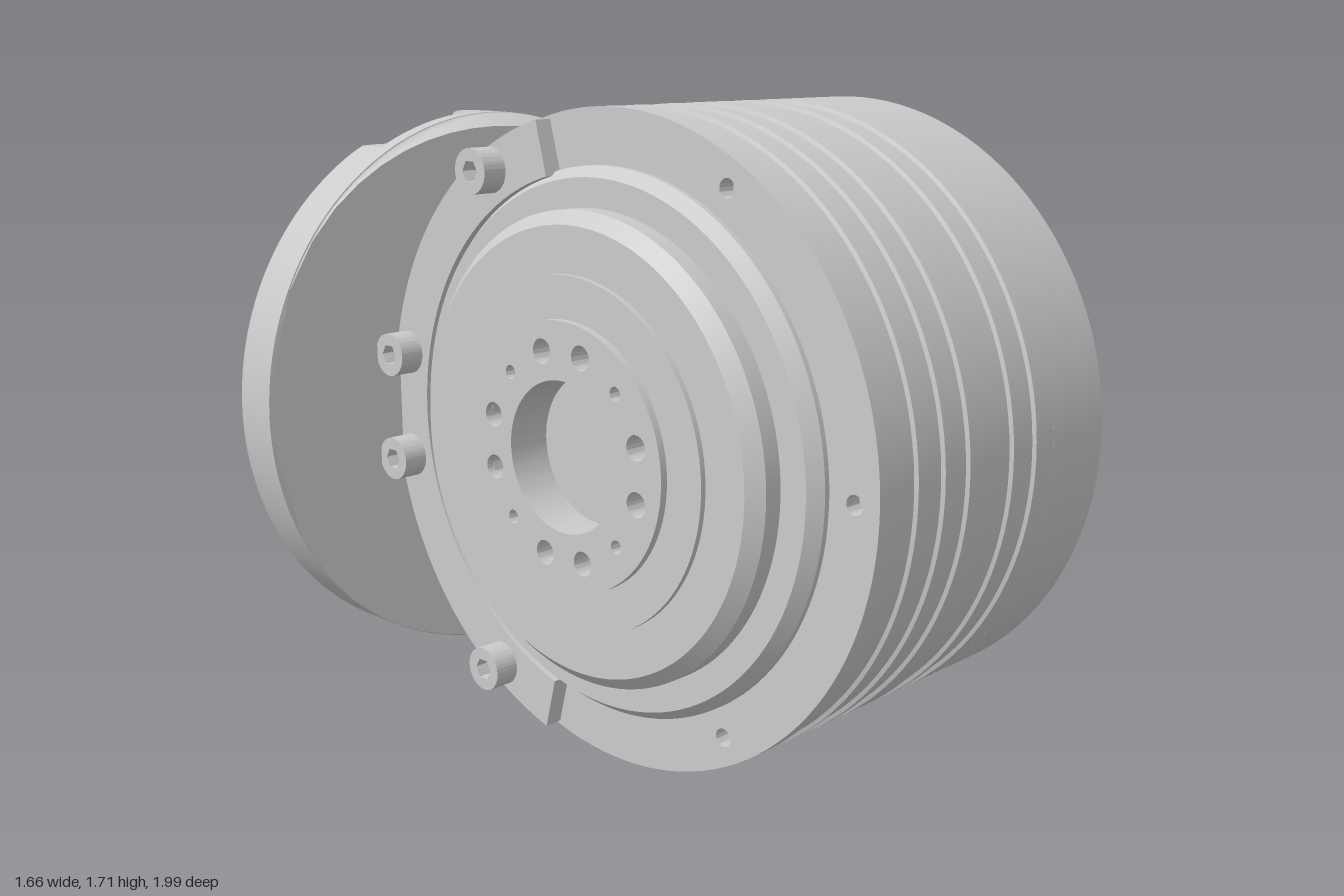
import * as THREE from 'three';
import { toCreasedNormals } from 'three/addons/utils/BufferGeometryUtils.js';

const CY = 0.857, CZ = 0.145;   // barrel axis (runs along x)
const FX = -0.03;               // flange axis x (runs along z)
const mat = new THREE.MeshStandardMaterial({ color: 0xcccccc, side: THREE.DoubleSide });
const V = (x, y) => new THREE.Vector2(x, y);

function add(parent, name, geo, crease = 0.5) {
  const m = new THREE.Mesh(toCreasedNormals(geo, crease), mat);
  m.name = name;
  parent.add(m);
  return m;
}

// Turned part about x; points are [radius, x] with x ascending
const turned = pts => new THREE.LatheGeometry(pts.map(p => V(p[0], p[1])), 128).rotateZ(-Math.PI / 2);

// Shape (u = towards the back, v = up) pushed along x
const alongX = (shape, x, depth) => new THREE.ExtrudeGeometry(shape,
  { depth, bevelEnabled: false, curveSegments: 64 }).rotateY(Math.PI / 2).translate(x, 0, 0);

const alongZ = (shape, z, depth) => new THREE.ExtrudeGeometry(shape,
  { depth, bevelEnabled: false, curveSegments: 32 }).translate(0, 0, z);

const circle = (x, y, r) => new THREE.Shape().absarc(x, y, r, 0, Math.PI * 2, false);
const rect = (x0, x1, y0, y1) => new THREE.Shape([V(x0, y0), V(x1, y0), V(x1, y1), V(x0, y1)]);

// Socket-head screw: a cylinder with a hex recess
function socket(r) {
  const s = circle(0, 0, r), hex = [];
  for (let i = 0; i < 6; i++) hex.push(V(0.5 * r * Math.cos(i * Math.PI / 3), 0.5 * r * Math.sin(i * Math.PI / 3)));
  s.holes.push(new THREE.Path(hex));
  return s;
}

function buildBarrel() {
  const g = new THREE.Group();
  g.name = 'barrel';
  g.position.set(0, CY, CZ);

  // Grooved front section
  const R = 0.855, r = 0.845, pts = [[0, -0.335], [r, -0.335]];
  for (const [a, b] of [[-0.245, -0.225], [-0.14, -0.105], [-0.04, 0.075], [0.145, 0.18]])
    pts.push([r, a], [R, a + 0.004], [R, b - 0.004], [r, b]);
  pts.push([r, 0.247], [R, 0.251], [R, 0.33], [0, 0.33]);
  add(g, 'groovedShell', turned(pts));

  // Slice with the rear screw pocket
  const cut = 0.365, core = 0.57, a = Math.acos(cut / R), b = Math.acos(cut / core);
  const slice = new THREE.Shape();
  slice.absarc(0, 0, R, a, Math.PI * 2 - a, false);
  slice.absarc(0, 0, core, -b, b, false);
  add(g, 'pocketSlice', alongX(slice, 0.33, 0.13));

  // Closed chamfered end
  add(g, 'chamferedEnd', turned([[0, 0.46], [R, 0.46], [R, 0.565], [0.595, 0.825], [0, 0.825]]));

  // Rim plate with small screw holes
  const rim = circle(0, 0, R);
  for (let i = 0; i < 6; i++) {
    const t = Math.PI / 3 * i;
    rim.holes.push(circle(0.785 * Math.cos(t), 0.785 * Math.sin(t), 0.024));
  }
  add(g, 'rimPlate', alongX(rim, -0.385, 0.048));

  // Raised crescent at the rear of the rim
  const c0 = Math.acos(0.215 / 0.845), crescent = new THREE.Shape();
  crescent.absarc(0, 0, 0.845, -c0, c0, false);
  crescent.absarc(0, 0, 0.7, c0, -c0, true);
  add(g, 'rimCrescent', alongX(crescent, -0.435, 0.055));

  // Stepped output hub
  add(g, 'steppedHub', turned([[0, -0.42], [0.3, -0.42], [0.3, -0.535], [0.455, -0.535], [0.455, -0.515],
    [0.575, -0.52], [0.61, -0.485], [0.61, -0.435], [0.685, -0.435], [0.712, -0.4], [0.712, -0.38]].map(
    (p, i) => (i === 4 ? [0.455, -0.52] : p))));

  // Output face with bore and screw circle
  const face = circle(0, 0, 0.345);
  face.holes.push(circle(0, 0, 0.195));
  for (let i = 0; i < 12; i++) {
    const t = Math.PI / 6 * (i + 0.5);
    face.holes.push(circle(0.27 * Math.cos(t), 0.27 * Math.sin(t), i % 3 === 1 ? 0.018 : 0.032));
  }
  add(g, 'outputFace', alongX(face, -0.555, 0.12));

  // Screws on the crescent and in the pockets, mirrored top to bottom
  for (const s of [1, -1]) {
    for (const [z, y] of [[-0.395, 0.682], [-0.775, 0.15]])
      add(g, 'rimScrew', alongX(socket(0.06), -0.505, 0.08).translate(0, s * y, z));
    for (const [z, y] of [[-0.415, 0.61], [-0.6, 0.4]])
      add(g, 'pocketScrew', alongX(socket(0.048), 0.37, 0.08).translate(0, s * y, z));
  }
  return g;
}

// Neck outline radius near the barrel: chamfered block, as a minimum over half planes
function blockRadius(a) {
  const cx = Math.cos(a), sy = Math.abs(Math.sin(a)), nx = 0.805, ny = 0.593;
  let r = sy > 1e-6 ? 0.705 / sy : 9;
  const c = cx * nx + sy * ny;
  if (cx > 0) r = Math.min(r, (0.823 - FX) / cx);
  if (c > 0) r = Math.min(r, ((0.565 - FX) * nx + 0.711 * ny) / c);
  return Math.min(r, 1.1);
}

// Outline point of flange and neck; t blends from disc to block
function outline(a, R, t, notch) {
  const r = R + (blockRadius(a) - R) * t;
  const x = FX + r * Math.cos(a);
  let y = r * Math.sin(a);
  if (notch && x < -0.06 && x > -0.46) y = THREE.MathUtils.clamp(y, -0.715, 0.715);
  return [x, y * (1 - 0.03 * Math.sin(Math.PI * t))];
}

function lerpTable(tab, z) {
  let i = 0;
  while (i < tab.length - 2 && z > tab[i + 1][0]) i++;
  const [z0, v0] = tab[i], [z1, v1] = tab[i + 1];
  return v0 + (v1 - v0) * THREE.MathUtils.clamp((z - z0) / (z1 - z0), 0, 1);
}

// Flange rim, sloping underside and neck in one loft along z
function flangeNeck() {
  const N = 240, pos = [], idx = [], secs = [];
  for (let i = 0; i <= 5; i++) {
    const f = i / 5 * Math.PI / 2;
    secs.push([-0.86 - 0.04 * Math.cos(f), 0.765 + 0.04 * Math.sin(f), -2, true]);
  }
  secs.push([-0.775, 0.805, -2, true], [-0.775, 0.805, -2, false], [-0.73, 0.805, -2, false]);
  const edge = [[-0.73, -0.835], [-0.62, -0.03], [-0.59, 0.1], [-0.54, 0.2], [-0.49, 0.25]];
  for (let i = 1; i <= 24; i++) {
    const z = -0.73 + 0.01 * i;
    secs.push([z, 0.805, lerpTable(edge, z), false]);
  }
  for (let i = 0; i <= 12; i++) secs.push([-0.49 + 0.02 * i, 0.805, 0.463, false]);

  for (const [z, R, x0, notch] of secs) {
    const t = THREE.MathUtils.smoothstep(z, -0.75, -0.33);
    // half angle at which the outline meets the cut x = x0
    let lo = 0, hi = Math.PI;
    if (x0 < -1) lo = hi;
    for (let k = 0; k < 30; k++) {
      const m = (lo + hi) / 2;
      if (outline(m, R, t, false)[0] > x0) lo = m; else hi = m;
    }
    for (let j = 0; j <= N; j++) {
      const [x, y] = outline(lo * (2 * j / N - 1), R, t, notch);
      pos.push(x, y, z);
    }
  }
  const W = N + 1;
  for (let i = 0; i < secs.length - 1; i++)
    for (let j = 0; j < W; j++) {
      const k = (j + 1) % W, p = i * W, q = p + W;
      idx.push(p + j, p + k, q + k, p + j, q + k, q + j);
    }
  const geo = new THREE.BufferGeometry();
  geo.setAttribute('position', new THREE.Float32BufferAttribute(pos, 3));
  geo.setIndex(idx);
  return geo;
}

function buildFlange() {
  const g = new THREE.Group();
  g.name = 'flange';
  g.position.y = CY;
  add(g, 'flangeNeck', flangeNeck(), 0.6);

  // Back face with slots
  const pts = [];
  for (let j = 0; j < 240; j++) pts.push(V(...outline(j / 120 * Math.PI, 0.765, 0, true)));
  const back = new THREE.Shape(pts);
  back.holes.push(circle(FX, 0, 0.08), rect(0.375, 0.48, -0.42, 0.42),
    rect(-0.49, -0.395, 0.24, 0.42), rect(-0.49, -0.395, -0.42, -0.24));
  add(g, 'backFace', alongZ(back, -0.9, 0.1));
  add(g, 'slotFloor', new THREE.CircleGeometry(0.7, 64).rotateY(Math.PI).translate(FX, 0, -0.8));

  // Raised centre plate trimmed at the slots
  const plate = [];
  for (let j = 0; j < 180; j++) {
    const a = j / 90 * Math.PI, y = 0.6 * Math.sin(a);
    plate.push(V(THREE.MathUtils.clamp(FX + 0.6 * Math.cos(a), Math.abs(y) > 0.23 ? -0.39 : -1, 0.37),
      THREE.MathUtils.clamp(y, -0.54, 0.54)));
  }
  const plateShape = new THREE.Shape(plate);
  plateShape.holes.push(circle(FX, 0, 0.08));
  add(g, 'centrePlate', alongZ(plateShape, -0.907, 0.012));

  // Six contact pins
  for (let i = 0; i < 6; i++) {
    const a = Math.PI / 6 + i * Math.PI / 3;
    const pin = new THREE.CylinderGeometry(0.042, 0.042, 0.1, 24).rotateX(Math.PI / 2);
    add(g, 'pin', pin.translate(FX + 0.28 * Math.cos(a), 0.28 * Math.sin(a), -0.942));
  }

  // Curved locating tab
  const tab = new THREE.Shape();
  tab.absarc(FX, 0, 0.715, Math.PI - 0.25, Math.PI + 0.25, false);
  tab.absarc(FX, 0, 0.615, Math.PI + 0.25, Math.PI - 0.25, true);
  add(g, 'locatingTab', alongZ(tab, -0.987, 0.1));

  // Screws inside the long slot and in the rim notches
  for (const y of [-0.33, 0, 0.33])
    add(g, 'slotScrew', new THREE.CylinderGeometry(0.05, 0.05, 0.06, 24).rotateZ(Math.PI / 2).translate(0.46, y, -0.84));
  for (const s of [1, -1])
    add(g, 'notchScrew', alongZ(socket(0.035), -0.85, 0.09).translate(-0.1, s * 0.745, 0));
  return g;
}

export function createModel() {
  const model = new THREE.Group();
  model.name = 'jointModule';
  model.add(buildBarrel(), buildFlange());
  return model;
}
